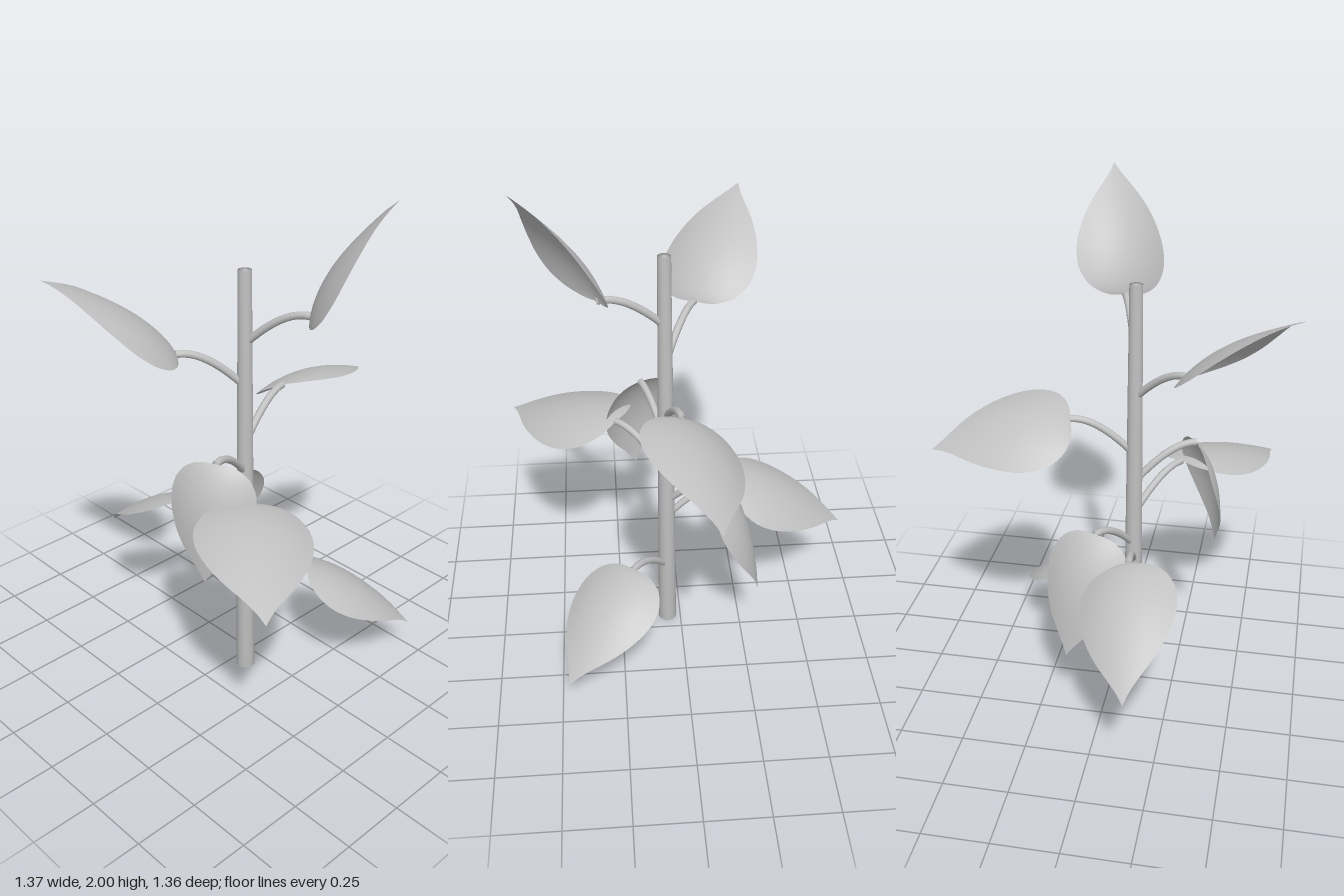
import * as THREE from 'three';

const V = (a) => new THREE.Vector3(...a);
const STEM_X = -0.075, STEM_Z = 0.055;

// base and tip of each blade, and the vector across its full width
const LEAVES = [
  { base: [0.125, 0.435, 0.2], tip: [0.455, 0.15, 0.47], across: [0.23, 0, -0.28] },
  { base: [-0.1, 0.69, -0.21], tip: [-0.16, 0.405, -0.68], across: [0.36, -0.08, 0] },
  { base: [0.04, 0.765, -0.15], tip: [0.127, 0.302, -0.3], across: [0.31, 0.03, 0.08] },
  { base: [-0.235, 0.905, 0.245], tip: [-0.577, 0.775, 0.675], across: [0.33, -0.04, 0.25] },
  { base: [-0.3, 1.045, 0.14], tip: [-0.385, 0.6, 0.165], across: [0.15, 0, 0.28] },
  { base: [0.165, 1.165, 0.01], tip: [0.685, 1.035, -0.085], across: [0, 0.18, 0.36] },
  { base: [-0.29, 1.4, -0.07], tip: [-0.685, 1.715, -0.28], across: [0.19, 0.02, -0.33] },
  { base: [0.005, 1.565, 0.3], tip: [0.1, 2.0, 0.57], across: [0.31, 0.12, -0.13] },
];

// half outline of a blade: position along the midrib, relative half width
const OUTLINE = new THREE.CatmullRomCurve3(
  [[0, 0], [0.0, 0.3], [0.03, 0.58], [0.1, 0.83], [0.22, 0.99], [0.36, 1], [0.53, 0.86],
    [0.69, 0.62], [0.83, 0.32], [0.92, 0.13], [1, 0]].map(([t, w]) => new THREE.Vector3(t, w, 0)));

// blade arched along the midrib, with its edges curving down
function bladeGeometry({ base, tip, across }) {
  const origin = V(base);
  const along = V(tip).sub(origin);
  const dir = along.clone().normalize();
  const side = V(across);
  const halfWidth = side.length() / 2;
  side.addScaledVector(dir, -side.dot(dir)).normalize();
  const up = new THREE.Vector3().crossVectors(side, dir);
  if (up.y < 0) { up.negate(); side.negate(); }

  const geo = new THREE.PlaneGeometry(2, 1, 12, 28);
  const pos = geo.attributes.position;
  const p = new THREE.Vector3();
  for (let i = 0; i < pos.count; i++) {
    const u = pos.getX(i);
    const o = OUTLINE.getPoint(pos.getY(i) + 0.5);
    const w = u * Math.max(o.y, 0);
    const arch = 0.045 * Math.sin(Math.PI * Math.pow(Math.max(o.x, 0), 0.75));
    p.copy(origin).addScaledVector(along, o.x)
      .addScaledVector(side, w * halfWidth)
      .addScaledVector(up, arch - 0.055 * w * w);
    pos.setXYZ(i, p.x, p.y, p.z);
  }
  geo.computeVertexNormals();
  return geo;
}

// stalk rising from the stem and levelling out at the blade
function stalkGeometry({ base }) {
  const end = V(base);
  const start = new THREE.Vector3(STEM_X, end.y - 0.15, STEM_Z);
  const bend = start.clone().lerp(end, 0.6);
  bend.y = end.y + 0.01;
  return new THREE.TubeGeometry(new THREE.QuadraticBezierCurve3(start, bend, end), 12, 0.014, 10);
}

export function createModel() {
  const grey = new THREE.MeshStandardMaterial({ color: 0xc0c0c0, side: THREE.DoubleSide });
  grey.name = 'plain grey';
  const group = new THREE.Group();
  group.name = 'plant';

  // tapering stem with closed ends
  const profile = [[0, 0], [0.037, 0], [0.033, 0.67], [0.025, 1.69], [0, 1.692]];
  const stem = new THREE.Mesh(
    new THREE.LatheGeometry(profile.map(([x, y]) => new THREE.Vector2(x, y)), 20), grey);
  stem.name = 'stem';
  stem.position.set(STEM_X, 0, STEM_Z);
  group.add(stem);

  // leaves, from the lowest to the highest
  LEAVES.forEach((spec, i) => {
    const leaf = new THREE.Group();
    leaf.name = `leaf${i + 1}`;
    const stalk = new THREE.Mesh(stalkGeometry(spec), grey);
    stalk.name = 'leafStalk';
    const blade = new THREE.Mesh(bladeGeometry(spec), grey);
    blade.name = 'leafBlade';
    leaf.add(stalk, blade);
    group.add(leaf);
  });
  return group;
}
